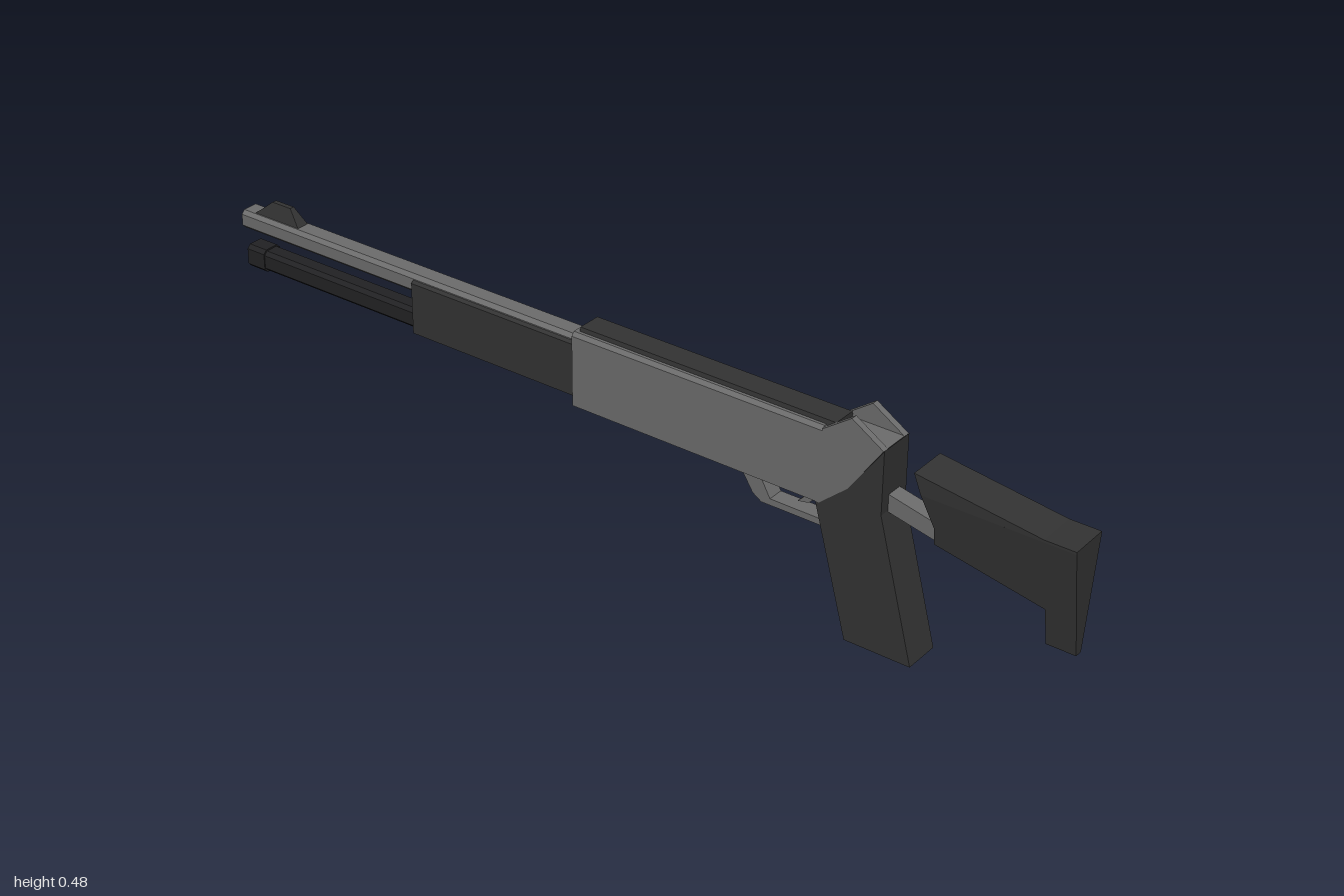
import * as THREE from 'three';

const mat = (color) => new THREE.MeshStandardMaterial({ color, flatShading: true });

const outline = (points) => new THREE.Shape(points.map(([a, b]) => new THREE.Vector2(a, b)));

// Side profile of [z, y] points, given a width across x
function sideProfile(points, width, x = 0) {
  const g = new THREE.ExtrudeGeometry(outline(points), { depth: width, bevelEnabled: false });
  return g.translate(0, 0, -width / 2).rotateY(-Math.PI / 2).translate(x, 0, 0);
}

// Rectangle with cut corners, as [x, y] points
const cutRect = (hw, y0, y1, cx, cy = cx) => [
  [-hw + cx, y0], [hw - cx, y0], [hw, y0 + cy], [hw, y1 - cy],
  [hw - cx, y1], [-hw + cx, y1], [-hw, y1 - cy], [-hw, y0 + cy],
];

// Cross-section of [x, y] points, run along z
function bar(points, z0, z1, hole) {
  const s = outline(points);
  if (hole) s.holes.push(new THREE.Path(hole.map(([a, b]) => new THREE.Vector2(a, b))));
  return new THREE.ExtrudeGeometry(s, { depth: z1 - z0, bevelEnabled: false }).translate(0, 0, z0);
}

// Narrow a geometry across x by a rule of height
function taper(g, scaleAt) {
  const p = g.attributes.position;
  for (let i = 0; i < p.count; i++) p.setX(i, p.getX(i) * scaleAt(p.getY(i)));
  g.computeVertexNormals();
  return g;
}

export function createModel() {
  const model = new THREE.Group();
  const steel = mat(0x6c6c6c), dark = mat(0x333333), black = mat(0x222224);
  const add = (name, geometry, material) => {
    const m = new THREE.Mesh(geometry, material);
    m.name = name;
    model.add(m);
    return m;
  };

  // Receiver with a small chamfer along the top edges
  add('receiver', bar([[-0.041, 0.277], [0.041, 0.277], [0.041, 0.43], [0.034, 0.438],
    [-0.034, 0.438], [-0.041, 0.43]], -0.108, 0.47), steel);
  add('receiverRear', sideProfile([[0.47, 0.278], [0.53, 0.33], [0.602, 0.435], [0.47, 0.435]], 0.082), steel);
  for (const side of [-1, 1]) {
    add('rearSightEar', sideProfile([[0.602, 0.434], [0.532, 0.478], [0.47, 0.434]], 0.014, side * 0.034), steel);
  }
  add('topRail', bar([[-0.028, 0.436], [0.028, 0.436], [0.026, 0.447], [-0.026, 0.447]], -0.098, 0.49), dark);
  add('ejectionPort', new THREE.BoxGeometry(0.004, 0.037, 0.25).translate(0.0405, 0.404, 0.315), dark);

  // Pistol grip
  add('grip', sideProfile([[0.603, 0.435], [0.603, 0.3], [0.682, 0], [0.536, 0], [0.46, 0.278],
    [0.47, 0.278], [0.53, 0.33]], 0.081), dark);

  // Trigger and its guard
  add('triggerGuard', sideProfile([[0.49, 0.226], [0.49, 0.212], [0.325, 0.212], [0.305, 0.225],
    [0.27, 0.28], [0.315, 0.28], [0.345, 0.226]], 0.036), steel);
  add('trigger', sideProfile([[0.44, 0.28], [0.437, 0.255], [0.425, 0.243], [0.4, 0.238],
    [0.418, 0.256], [0.415, 0.28]], 0.016), steel);

  // Barrel with a square bore
  const bore = [[-0.011, 0.39], [-0.011, 0.412], [0.011, 0.412], [0.011, 0.39]];
  add('barrel', bar(cutRect(0.025, 0.38, 0.421, 0.008), -1, -0.1, bore), steel);
  add('boreBottom', new THREE.BoxGeometry(0.022, 0.022, 0.02).translate(0, 0.401, -0.94), black);
  add('frontSight', taper(sideProfile([[-0.848, 0.419], [-0.877, 0.455], [-0.927, 0.455], [-0.972, 0.419]], 0.03),
    (y) => (y > 0.44 ? 0.35 : 1)), dark);

  // Forend and magazine tube
  add('forend', bar(cutRect(0.032, 0.285, 0.414, 0.012, 0.008), -0.525, -0.1), dark);
  add('magazineTube', bar(cutRect(0.022, 0.295, 0.34, 0.008), -0.95, -0.5), black);
  add('magazineCap', bar(cutRect(0.024, 0.292, 0.343, 0.008), -0.992, -0.945), black);

  // Shoulder stock: a straight top, a narrowing body and a strut to the grip
  add('stockTop', sideProfile([[1, 0.376], [1, 0.381], [0.935, 0.381], [0.668, 0.416], [0.684, 0.376]], 0.086), dark);
  add('stockBody', taper(sideProfile([[1, 0.376], [0.684, 0.376], [0.71, 0.312], [0.71, 0.275],
    [0.938, 0.226], [0.938, 0.145], [1, 0.145]], 0.086),
  (y) => (y > 0.226 ? 0.51 + (y - 0.226) * 3.267 : 0.19 + (y - 0.145) * 3.95)), dark);
  add('stockStrut', sideProfile([[0.59, 0.337], [0.72, 0.308], [0.72, 0.272], [0.59, 0.3]], 0.036), steel);

  return model;
}
